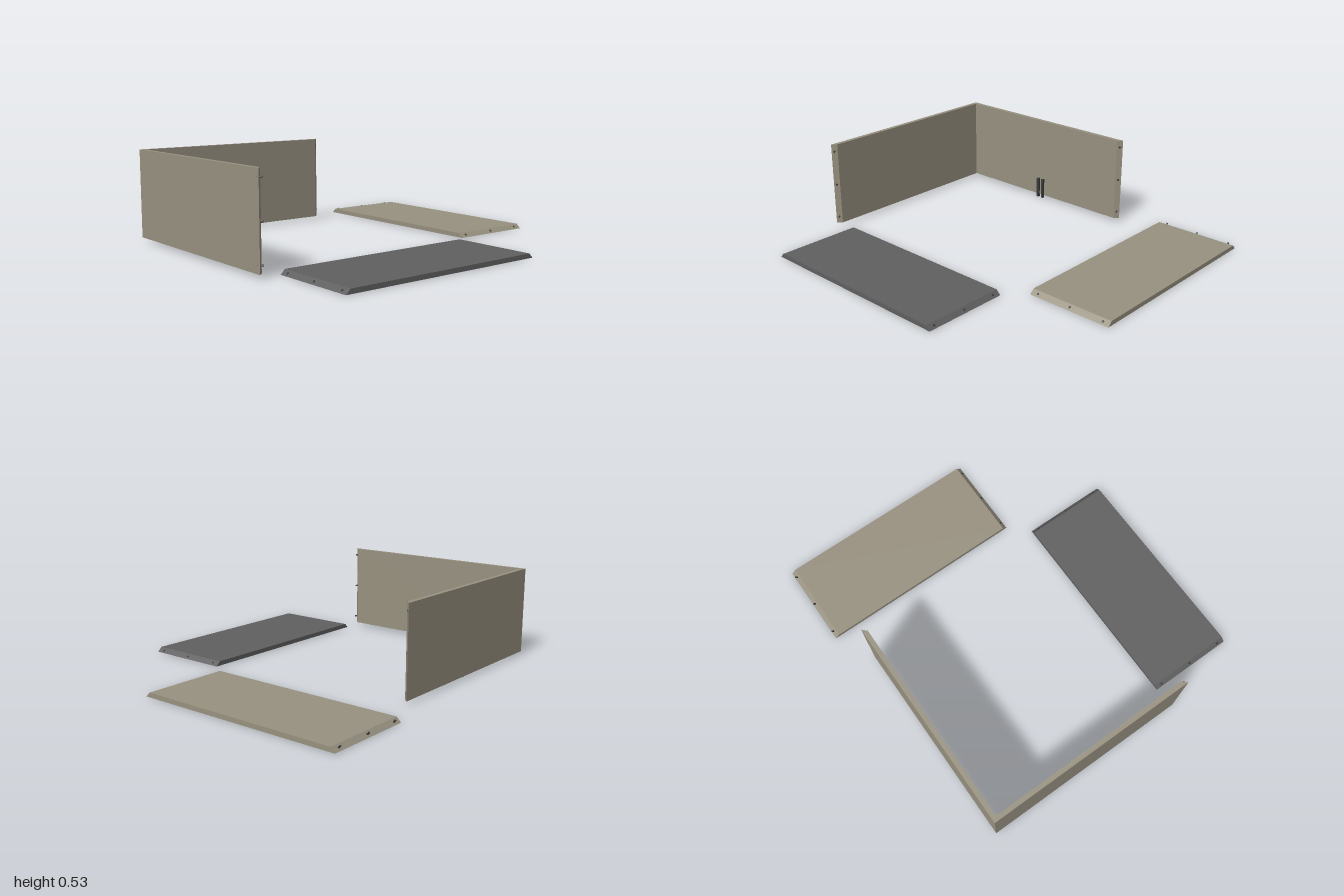
import * as THREE from 'three';

const LENGTH = 1.253, WIDTH = 0.512, THICK = 0.026;
const tan = new THREE.MeshStandardMaterial({ color: 0x989180 });
const grey = new THREE.MeshStandardMaterial({ color: 0x606060 });
const dark = new THREE.MeshStandardMaterial({ color: 0x3c3c3c });

function add(parent, name, geometry, material, x = 0, y = 0, z = 0) {
  const mesh = new THREE.Mesh(geometry, material);
  mesh.name = name;
  mesh.position.set(x, y, z);
  parent.add(mesh);
  return mesh;
}

// Board with its outer face down and both ends mitred at 45 degrees.
// The fittings list gives what sits on the -x and +x mitres.
function panel(name, material, fittings) {
  const group = new THREE.Group();
  group.name = name;
  const h = LENGTH / 2;
  const profile = new THREE.Shape([
    new THREE.Vector2(-h, 0), new THREE.Vector2(h, 0),
    new THREE.Vector2(h - THICK, THICK), new THREE.Vector2(-h + THICK, THICK),
  ]);
  const board = new THREE.ExtrudeGeometry(profile, { depth: WIDTH, bevelEnabled: false });
  add(group, 'board', board.translate(0, 0, -WIDTH / 2), material);

  // Three pins or socket rims along each mitre
  [-1, 1].forEach((side, i) => {
    if (!fittings[i]) return;
    const pin = fittings[i] === 'pin';
    const geometry = new THREE.CylinderGeometry(pin ? 0.005 : 0.007, pin ? 0.005 : 0.007, pin ? 0.03 : 0.002, 16);
    for (const z of [-0.213, 0, 0.213]) {
      const part = add(group, fittings[i], geometry, dark, side * (h - THICK / 2), THICK / 2, z);
      part.rotation.z = -side * Math.PI / 4;
    }
  });
  return group;
}

export function createModel() {
  const model = new THREE.Group();

  // Two panels lying flat
  const back = panel('backPanel', tan, ['pin', 'socket']);
  back.position.set(-0.314, 0, -0.744);
  const right = panel('darkPanel', grey, ['socket', 'socket']);
  right.position.set(0.683, 0, 0.25);
  right.rotation.y = Math.PI / 2;

  // Two upright panels joined at the front corner
  const front = panel('frontWall', tan, [null, 'pin']);
  front.position.set(-0.188, 0.274, 1);
  front.rotation.x = -Math.PI / 2;
  const side = panel('sideWall', tan, ['socket', null]);
  side.position.set(-0.814, 0.274, 1 - LENGTH / 2);
  side.rotation.set(-Math.PI / 2, -Math.PI / 2, 0, 'YXZ');
  model.add(back, right, front, side);

  // Pair of clips at the foot of the side wall
  for (const z of [0.352, 0.39]) {
    add(model, 'clip', new THREE.BoxGeometry(0.017, 0.13, 0.015), dark, -0.781, 0.067, z);
  }
  return model;
}
